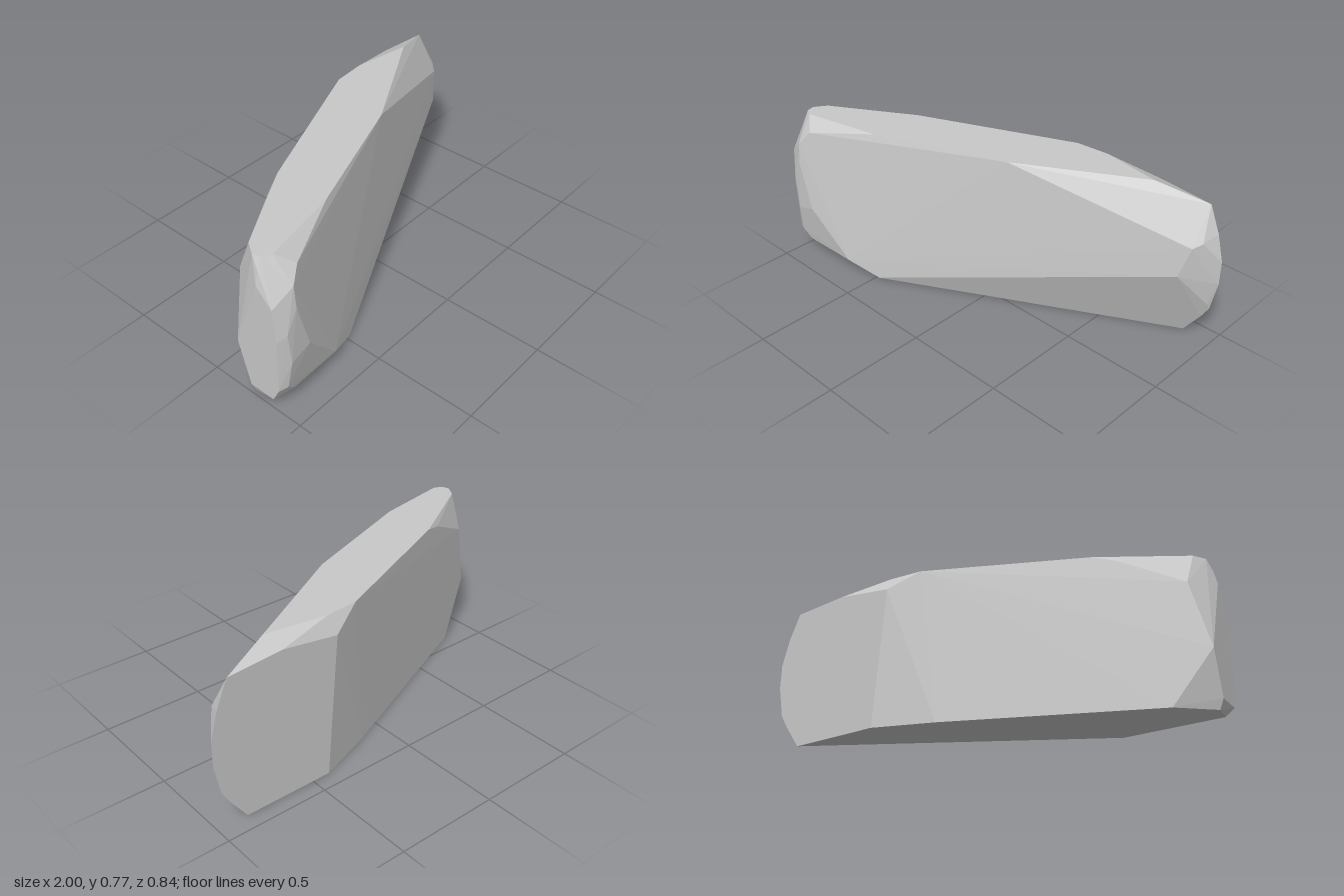
import * as THREE from 'three';
import { ConvexGeometry } from 'three/addons/geometries/ConvexGeometry.js';

// A slanted, faceted stone slab: the convex hull of a few chipped corners.
export function createModel() {
  const stone = new THREE.MeshStandardMaterial({ color: 0xc8c8c8 });
  stone.name = 'stone grey';

  // Corners of the broad front face
  const front = [
    [-0.48, 0.004, 0.31], [0.87, 0.38, -0.28], [0.91, 0.53, -0.31], [0.1, 0.77, 0],
    [-0.53, 0.77, 0.24], [-0.85, 0.715, 0.38], [-0.905, 0.65, 0.41],
    [-0.905, 0.54, 0.42], [-0.84, 0.305, 0.42], [-0.64, 0.067, 0.372],
  ];
  // Flat top
  const top = [
    [-0.92, 0.77, 0.32], [-0.96, 0.77, 0.3], [-0.97, 0.77, 0.26], [-0.93, 0.77, 0.2],
    [-0.53, 0.77, -0.04], [0.21, 0.77, -0.36], [0.375, 0.77, -0.375], [0.67, 0.77, -0.33],
  ];
  // Flat back at the right tip, with its rounded outline
  const tip = [
    [0.36, 0.69, -0.42], [0.64, 0.73, -0.42], [0.91, 0.71, -0.42], [0.965, 0.58, -0.42],
    [1, 0.45, -0.42], [1, 0.33, -0.42], [0.97, 0.18, -0.42], [0.935, 0.12, -0.42],
    [0.85, 0, -0.42], [0.41, 0, -0.42],
    [0.94, 0.553, -0.344], [0.96, 0.54, -0.385], [0.99, 0.44, -0.41], [0.965, 0.21, -0.405],
  ];
  // Long slanted back
  const back = [
    [0.13, 0, -0.32], [-0.635, 0.74, 0.005], [-0.92, 0.6, 0.125], [-0.82, 0, 0.085],
  ];
  // Blunt left end
  const end = [
    [-0.985, 0.72, 0.3], [-1, 0.65, 0.3], [-1, 0.57, 0.38], [-1, 0.4, 0.393],
    [-1, 0.12, 0.385], [-1, 0.05, 0.35], [-1, 0.05, 0.22], [-1, 0.27, 0.16],
    [-0.96, 0.43, 0.417], [-0.945, 0.27, 0.42], [-0.96, 0.13, 0.403], [-0.915, 0.083, 0.392],
    [-0.97, 0, 0.31], [-0.98, 0, 0.22],
  ];

  const points = [front, top, tip, back, end].flat().map((p) => new THREE.Vector3(...p));
  const slab = new THREE.Mesh(new ConvexGeometry(points), stone);
  slab.name = 'stoneSlab';

  const group = new THREE.Group();
  group.name = 'rock';
  group.add(slab);
  return group;
}
